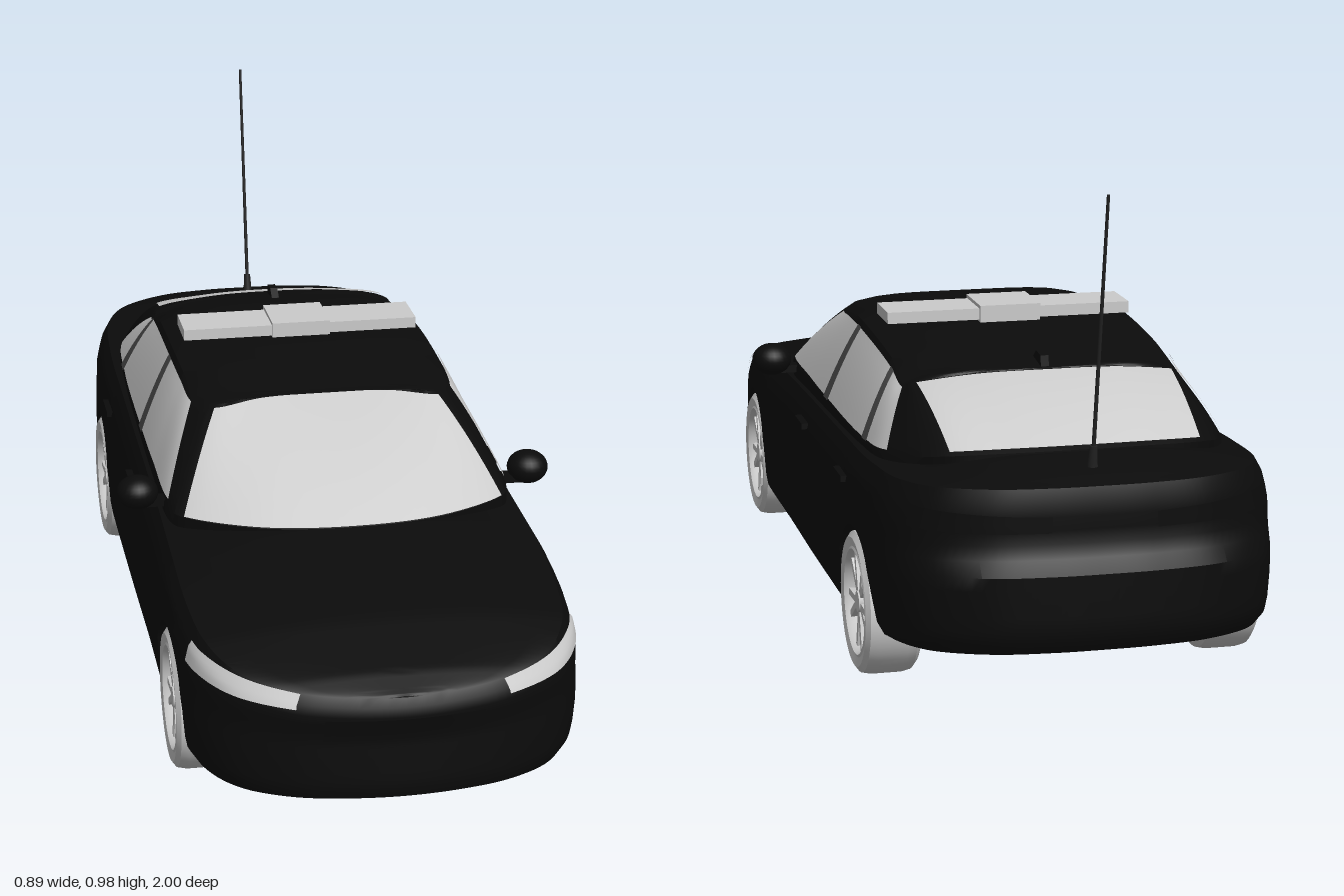
import * as THREE from 'three';
import { toCreasedNormals } from 'three/addons/utils/BufferGeometryUtils.js';

const mat = (color, side = THREE.FrontSide) => new THREE.MeshStandardMaterial({ color, side });
const black = mat(0x0b0b0b), dark = mat(0x4a4a4a), grey = mat(0xcccccc);
const greyBoth = mat(0xcccccc, THREE.DoubleSide);
const WHEEL_Z = [0.6, -0.57], WHEEL_Y = 0.148, TYRE_R = 0.14, ARCH_R = 0.15;

// Piecewise linear lookup in a list of [x, y], x ascending
function look(table, x) {
  if (x <= table[0][0]) return table[0][1];
  for (let i = 1; i < table.length; i++) {
    const [x0, y0] = table[i - 1], [x1, y1] = table[i];
    if (x <= x1) return y0 + (y1 - y0) * (x - x0) / (x1 - x0);
  }
  return table[table.length - 1][1];
}

// Surface over a grid, optionally pushed out along its normals
function grid(fn, nu, nv, lift = 0) {
  const pos = [], idx = [], w = nv + 1;
  for (let i = 0; i <= nu; i++) for (let j = 0; j <= nv; j++) pos.push(...fn(i / nu, j / nv, j).toArray());
  for (let i = 0; i < nu; i++) for (let j = 0; j < nv; j++) {
    const a = i * w + j, b = a + w;
    idx.push(a, b, b + 1, a, b + 1, a + 1);
  }
  const g = new THREE.BufferGeometry();
  g.setAttribute('position', new THREE.Float32BufferAttribute(pos, 3));
  g.setIndex(idx);
  g.computeVertexNormals();
  if (lift) {
    const p = g.attributes.position, n = g.attributes.normal;
    for (let i = 0; i < p.count; i++) {
      p.setXYZ(i, p.getX(i) + n.getX(i) * lift, p.getY(i) + n.getY(i) * lift, p.getZ(i) + n.getZ(i) * lift);
    }
  }
  return g;
}

// Closed symmetric loop from its left half, front centre to rear centre
function loop(half) {
  const pts = half.map(p => new THREE.Vector3(...p));
  const back = pts.slice(1, -1).reverse().map(p => new THREE.Vector3(-p.x, p.y, p.z));
  return new THREE.CatmullRomCurve3([...pts, ...back], true);
}
const at = (curve, k) => curve.getPoint(((k / curve.points.length) % 1 + 1) % 1);

// Lower body: plan outline, heights along z, and insets up the wall
const outline = loop([[0, 0, 1], [.12, 0, .99], [.22, 0, .965], [.31, 0, .91], [.365, 0, .82], [.388, 0, .68],
  [.39, 0, .2], [.39, 0, -.4], [.388, 0, -.62], [.37, 0, -.8], [.32, 0, -.91], [.22, 0, -.975], [.1, 0, -.997], [0, 0, -1]]);
const sill = [[-1, .145], [-.75, .128], [-.5, .085], [0, .08], [.45, .082], [1, .095]];
const shoulder = [[-1, .45], [-.8, .44], [-.5, .42], [0, .405], [.5, .385], [.8, .348], [.95, .312], [1, .295]];
const deck = [[-1, .45], [-.95, .463], [-.8, .475], [-.5, .44], [0, .425], [.47, .42], [.6, .405], [.8, .37], [.95, .325], [1, .298]];
const wallX = [[0, .94], [.1, .985], [.35, 1], [.75, .99], [.9, .965], [1, .92]];
const noseZ = [[0, -.012], [.1, -.006], [.6, -.012], [.85, 0], [1, -.015]];
const tailZ = [[0, -.03], [.1, 0], [.5, 0], [.62, -.035], [.9, -.035], [1, -.045]];

function archY(z) {
  let y = look(sill, z);
  for (const c of WHEEL_Z) {
    const d = Math.abs(z - c);
    if (d < ARCH_R) y = Math.max(y, WHEEL_Y - .005 + Math.sqrt(ARCH_R ** 2 - d * d));
  }
  return y;
}
function wall(p, y) {
  const low = look(sill, p.z), top = look(shoulder, p.z);
  const v = Math.min(1, (y - low) / (top - low));
  const end = THREE.MathUtils.smoothstep(Math.abs(p.z), .7, 1);
  const dz = look(p.z > 0 ? noseZ : tailZ, v) * end * Math.sign(p.z);
  return new THREE.Vector3(p.x * look(wallX, v), y, p.z + dz);
}
const WALL_ROWS = 12, DECK_ROWS = 6;
function bodyPoint(u, _, j) {
  const p = outline.getPointAt(u % 1), low = look(sill, p.z), arch = archY(p.z), top = look(shoulder, p.z);
  const inner = wall(p, low);
  if (j < 3) return inner.set(j === 0 ? 0 : p.x * .66, j === 2 ? arch : low, inner.z);
  j -= 3;
  if (j <= WALL_ROWS) return wall(p, arch + (top - arch) * j / WALL_ROWS);
  const s = 1 - (j - WALL_ROWS) / DECK_ROWS, e = wall(p, top);
  return e.set(e.x * s, top + (look(deck, p.z) - top) * (1 - s ** 2.5), e.z);
}

// Cabin: ruled between the belt loop and the roof loop, closed by a crowned roof
const belt = loop([[0, .42, .475], [.18, .42, .45], [.325, .42, .365], [.345, .42, .32], [.35, .42, .1], [.35, .42, -.1],
  [.345, .425, -.45], [.33, .44, -.62], [.25, .47, -.76], [.13, .475, -.785], [0, .477, -.795]]);
const rail = loop([[0, .588, .135], [.13, .588, .145], [.23, .578, .165], [.26, .575, .1], [.268, .585, 0], [.272, .59, -.12],
  [.27, .57, -.41], [.268, .547, -.49], [.26, .555, -.515], [.14, .57, -.53], [0, .573, -.535]]);
const crown = [[-.535, .575], [-.4, .593], [-.25, .607], [-.1, .612], [0, .606], [.135, .59]];
function cabinSide(k, t) {
  const p = at(belt, k).lerp(at(rail, k), t);
  p.y += .04 * t * (1 - t);
  return p;
}
function cabinPoint(u, _, j) {
  const k = u * belt.points.length;
  if (j === 0) return at(belt, k).add(new THREE.Vector3(0, -.05, 0));
  if (j <= 9) return cabinSide(k, (j - 1) / 8);
  const s = 1 - (j - 9) / 6, p = at(rail, k);
  return p.set(p.x * s, p.y + (look(crown, p.z) - p.y) * (1 - s ** 5), p.z);
}
const mix = THREE.MathUtils.lerp;
const pane = (k0, k1, t0, t1, lift) => grid((u, v) => cabinSide(mix(k0, k1, u), mix(t0, t1, v)), 32, 8, lift);
const wallPatch = (k0, k1, lo, hi) =>
  grid((u, v) => wall(at(outline, mix(k0, k1, u)), mix(mix(...lo, u), mix(...hi, u), v)), 20, 4, .004);

function makeWheel() {
  const wheel = new THREE.Group();
  const put = (name, geo, material) => {
    const m = new THREE.Mesh(geo, material);
    m.name = name;
    wheel.add(m);
    return m;
  };
  const lathe = pts => toCreasedNormals(new THREE.LatheGeometry(pts.map(p => new THREE.Vector2(...p)), 48), .6);
  put('tyre', lathe([[.1, -.05], [.125, -.055], [.136, -.046], [TYRE_R, -.028], [TYRE_R, .028], [.136, .046], [.125, .054], [.107, .05]]), greyBoth);
  put('rim', lathe([[.107, .05], [.102, .052], [.097, .044], [.09, .01], [.09, -.04], [0, -.045]]), greyBoth);
  put('brakeDisc', new THREE.CylinderGeometry(.065, .065, .012, 32), dark);
  put('hub', new THREE.CylinderGeometry(.02, .026, .02, 24), grey).position.y = .036;
  // Five pairs of spokes
  for (let i = 0; i < 5; i++) for (const s of [-1, 1]) {
    const a = i * Math.PI * 2 / 5 + s * .2;
    const spoke = put('spoke', new THREE.BoxGeometry(.085, .014, .013), grey);
    spoke.position.set(Math.cos(a) * .058, .036, Math.sin(a) * .058);
    spoke.rotation.y = -a - s * .08;
  }
  wheel.rotation.z = -Math.PI / 2;
  return wheel;
}

export function createModel() {
  const car = new THREE.Group();
  car.name = 'car';
  const add = (name, geo, material, pos = [0, 0, 0], parent = car) => {
    const m = new THREE.Mesh(geo, material);
    m.name = name;
    m.position.set(...pos);
    parent.add(m);
    return m;
  };

  add('body', toCreasedNormals(grid(bodyPoint, 280, 3 + WALL_ROWS + DECK_ROWS), .7), black);
  add('cabin', toCreasedNormals(grid(cabinPoint, 160, 15), .7), black);
  add('windshield', pane(-1.95, 1.95, 0, .95, .004), grey);
  add('rearWindow', pane(8.1, 11.9, .03, .96, .004), grey);
  add('grille', wallPatch(-1.3, 1.3, [.2, .2], [.26, .26]), black);

  // Parts on both sides, mirrored from the left
  for (const side of [1, -1]) {
    const half = new THREE.Group();
    half.name = side > 0 ? 'leftSide' : 'rightSide';
    half.scale.x = side;
    car.add(half);
    const put = (name, geo, material, pos) => add(name, geo, material, pos, half);
    put('sideGlass', pane(3.05, 7, .06, .92, .004), grey);
    put('centrePillar', pane(4.9, 5.07, .05, .94, .007), dark);
    put('rearPillar', pane(6.03, 6.25, .05, .94, .007), dark);
    put('headlight', wallPatch(1.85, 4.45, [.278, .298], [.304, .336]), grey);
    put('tailLight', wallPatch(9.6, 12, [.37, .37], [.41, .4]), black);
    put('mirror', new THREE.SphereGeometry(1, 24, 16), black, [.402, .438, .262]).scale.set(.042, .034, .042);
    put('mirrorArm', new THREE.BoxGeometry(.06, .016, .03), black, [.365, .417, .262]);
    for (const z of [0, -.43]) put('doorHandle', new THREE.BoxGeometry(.014, .012, .08), black, [.385, .36, z]);
    for (const z of WHEEL_Z) {
      const wheel = makeWheel();
      wheel.name = z > 0 ? 'frontWheel' : 'rearWheel';
      wheel.position.set(.335, TYRE_R + .003, z);
      half.add(wheel);
    }
  }

  // Roof light bar
  for (const s of [-1, 1]) add('lightBarEnd', new THREE.BoxGeometry(.188, .023, .106), grey, [s * .156, .6235, -.19]);
  add('lightBarCentre', new THREE.BoxGeometry(.124, .034, .125), grey, [0, .625, -.19]);

  // Roof fin
  const fin = new THREE.Shape([[.455, .575], [.49, .6], [.525, .597], [.53, .565]].map(p => new THREE.Vector2(...p)));
  const finGeo = new THREE.ExtrudeGeometry(fin, { depth: .016, bevelEnabled: false });
  finGeo.translate(0, 0, -.008).rotateY(Math.PI / 2);
  add('roofFin', finGeo, black);

  // Whip antenna on the boot lid
  const foot = new THREE.Vector3(0, .465, -.875), tip = new THREE.Vector3(0, .983, -.965);
  const mast = (a, b, r0, r1) => {
    const path = new THREE.Vector3().subVectors(b, a);
    const m = add('antenna', new THREE.CylinderGeometry(r1, r0, path.length(), 12), mat(0x222222), a.clone().lerp(b, .5).toArray());
    m.quaternion.setFromUnitVectors(new THREE.Vector3(0, 1, 0), path.normalize());
  };
  mast(foot, tip, .004, .003);
  mast(foot, foot.clone().lerp(tip, .08), .01, .007);
  return car;
}
